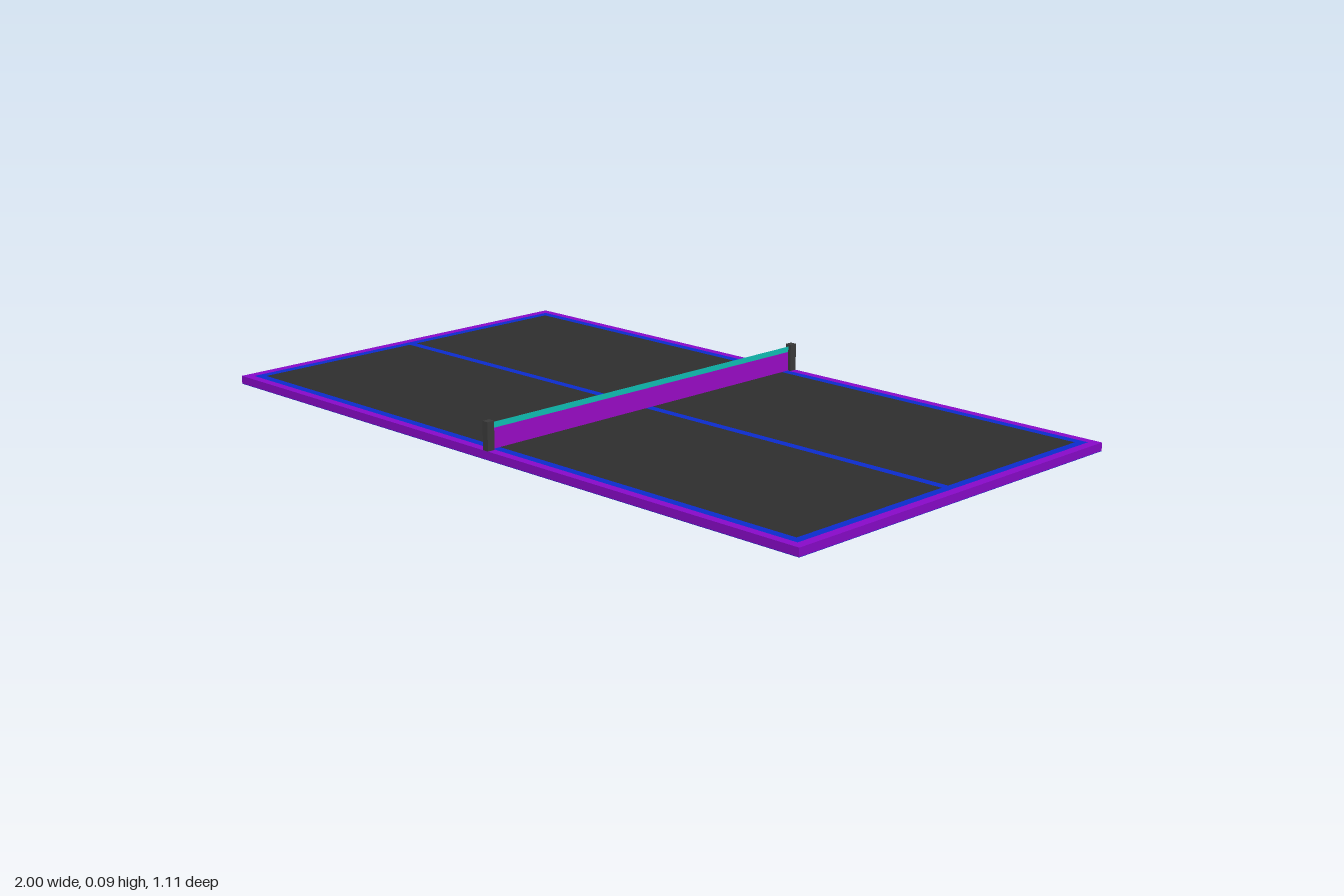
import * as THREE from 'three';

const L = 1, W = 0.553, TOP = 0.022, BASE = 0.001;

const mat = (color, side = THREE.FrontSide) => new THREE.MeshStandardMaterial({ color, side });

// Trace a rectangle from x0..x1 and z0..z1 on a Shape or Path
function rect(path, x0, x1, z0, z1) {
  return path.moveTo(x0, z0).lineTo(x1, z0).lineTo(x1, z1).lineTo(x0, z1).closePath();
}

// Flat board of a given outline with rectangular holes, lying on y = BASE
function board(halfX, halfZ, holes) {
  const shape = rect(new THREE.Shape(), -halfX, halfX, -halfZ, halfZ);
  for (const h of holes) shape.holes.push(rect(new THREE.Path(), ...h));
  return new THREE.ExtrudeGeometry(shape, { depth: TOP - BASE, bevelEnabled: false })
    .rotateX(-Math.PI / 2).translate(0, BASE, 0);
}

export function createModel() {
  const group = new THREE.Group();
  const purple = mat(0x8a0acb), blue = mat(0x0c2cd0), dark = mat(0x2e2e2e);
  const add = (name, geometry, material, x = 0, y = 0, z = 0) => {
    const mesh = new THREE.Mesh(geometry, material);
    mesh.name = name;
    mesh.position.set(x, y, z);
    group.add(mesh);
  };

  const lineX = 0.975, lineZ = 0.53;           // outer edge of the painted lines
  const courtX = 0.952, courtZ = 0.507, mid = 0.012; // court panels and half centre line

  // Table top: underside, rim, painted lines and the two court panels
  add('underside', new THREE.BoxGeometry(2 * L, BASE, 2 * W), blue, 0, BASE / 2);
  add('rim', board(L, W, [[-lineX, lineX, -lineZ, lineZ]]), purple);
  add('courtLines', board(lineX, lineZ, [
    [-courtX, courtX, mid, courtZ],
    [-courtX, courtX, -courtZ, -mid],
  ]), blue);
  for (const s of [-1, 1]) {
    add('courtPanel', new THREE.BoxGeometry(2 * courtX, TOP - BASE, courtZ - mid), dark,
      0, (TOP + BASE) / 2, s * (courtZ + mid) / 2);
  }

  // Net: thin sheet with a contrasting top band
  const netLength = 1.064, bandY = 0.074, netTop = 0.089;
  const sheet = (y0, y1) => new THREE.PlaneGeometry(netLength, y1 - y0)
    .rotateY(Math.PI / 2).translate(0, (y0 + y1) / 2, 0);
  add('net', sheet(TOP, bandY), mat(0x9e0ccb, THREE.DoubleSide));
  add('netBand', sheet(bandY, netTop), mat(0x10c4b8, THREE.DoubleSide));

  // Net posts at both long edges
  const postHeight = 0.095 - TOP;
  for (const s of [-1, 1]) {
    add('netPost', new THREE.BoxGeometry(0.018, postHeight, 0.021), mat(0x3c3c3c),
      0, TOP + postHeight / 2, s * 0.5425);
  }
  return group;
}
